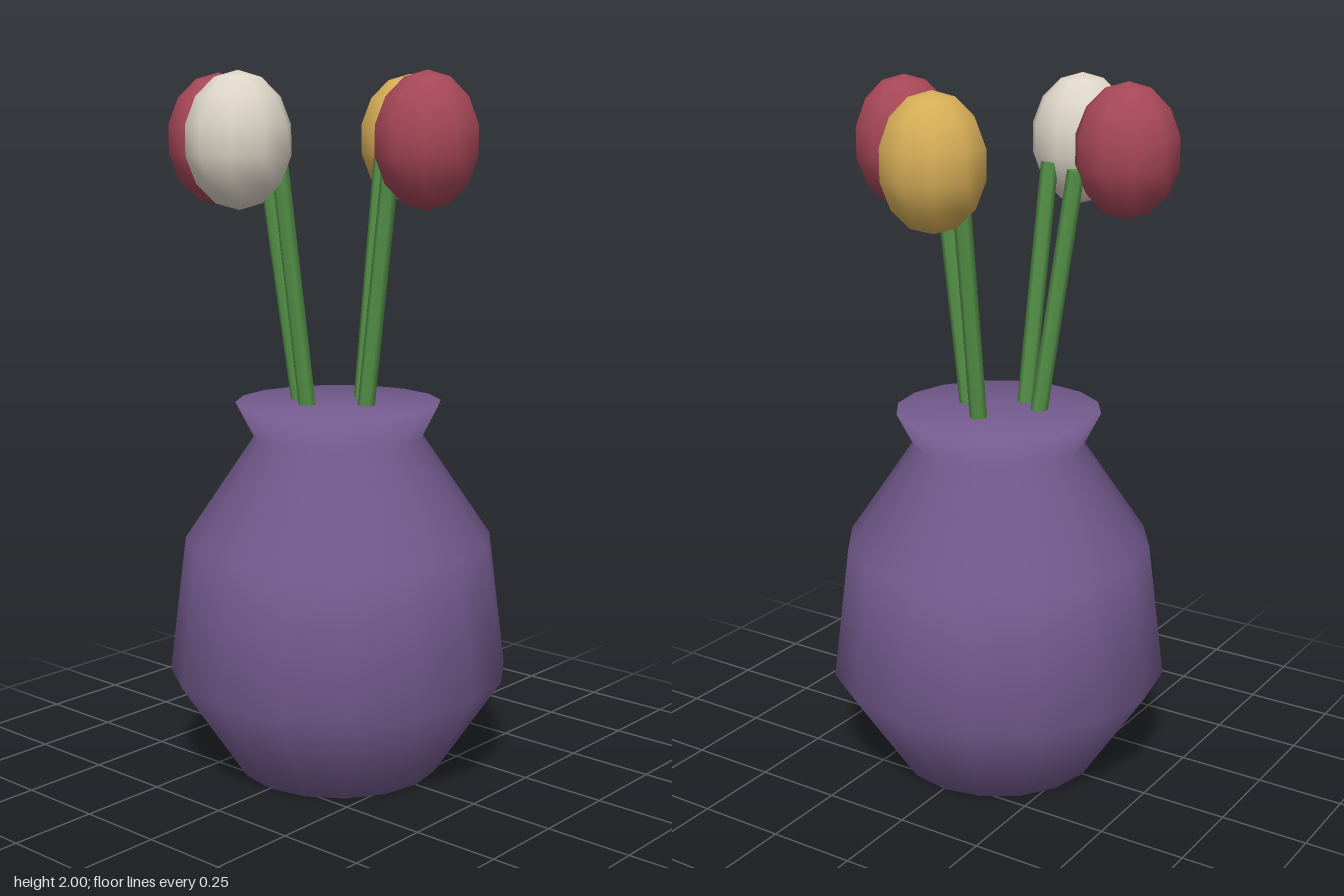
import * as THREE from 'three';

const mat = (name, color) => {
  const m = new THREE.MeshStandardMaterial({ color });
  m.name = name;
  return m;
};

export function createModel() {
  const model = new THREE.Group();
  model.name = 'vaseOfTulips';

  const purple = mat('purple', 0x755c90);
  const green = mat('green', 0x559248);
  const red = mat('red', 0xa64757);
  const yellow = mat('yellow', 0xd6ad57);
  const cream = mat('cream', 0xddd5c7);

  // Vase: closed, softly shaded lathe
  const profile = [
    [0, 0], [0.294, 0], [0.49, 0.295], [0.441, 0.687],
    [0.243, 0.98], [0.294, 1.08], [0, 1.08],
  ].map(([r, y]) => new THREE.Vector2(r, y));
  const vase = new THREE.Mesh(new THREE.LatheGeometry(profile, 16), purple);
  vase.name = 'vase';
  model.add(vase);

  // Tulips: an egg-shaped bloom on a stem leaning outwards
  const bloomGeometry = new THREE.SphereGeometry(0.147, 10, 7);
  bloomGeometry.rotateY(Math.PI / 2);
  bloomGeometry.scale(1, 1.255, 1);

  const up = new THREE.Vector3(0, 1, 0);
  const addTulip = (name, x, z, material) => {
    const tulip = new THREE.Group();
    tulip.name = name;

    const bloom = new THREE.Mesh(bloomGeometry, material);
    bloom.name = 'bloom';
    bloom.position.set(x, 1.8155, z);

    const foot = new THREE.Vector3(x * 0.14, 0.6, z * 0.14);
    const tip = new THREE.Vector3(x * 0.605, 1.76, z * 0.605);
    const axis = tip.clone().sub(foot);
    const stem = new THREE.Mesh(
      new THREE.CylinderGeometry(0.0245, 0.0245, axis.length(), 6), green);
    stem.name = 'stem';
    stem.position.copy(foot).add(tip).multiplyScalar(0.5);
    stem.quaternion.setFromUnitVectors(up, axis.normalize());

    tulip.add(bloom, stem);
    model.add(tulip);
  };

  addTulip('leftRedTulip', 0.313, 0, red);
  addTulip('rightRedTulip', -0.313, 0.155, red);
  addTulip('backYellowTulip', 0, -0.313, yellow);
  addTulip('frontCreamTulip', -0.08, 0.313, cream);

  return model;
}
